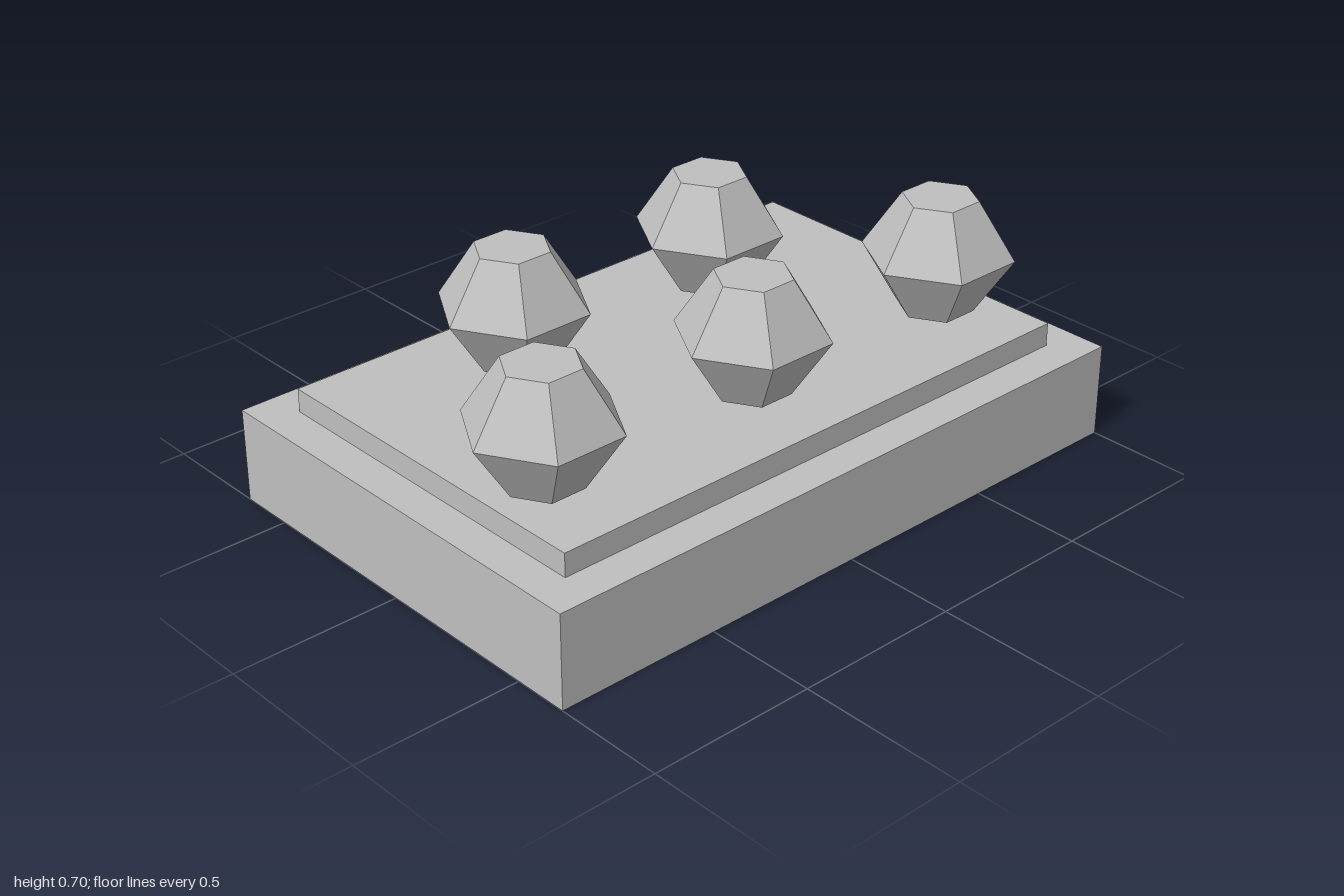
import * as THREE from 'three';

export function createModel() {
  const model = new THREE.Group();
  model.name = 'gemTray';
  const grey = new THREE.MeshStandardMaterial({ color: 0xbfbfbf });
  grey.name = 'grey';

  const add = (name, geometry, x, y, z) => {
    const mesh = new THREE.Mesh(geometry, grey);
    mesh.name = name;
    mesh.position.set(x, y, z);
    model.add(mesh);
  };

  // Stepped rectangular base
  add('base', new THREE.BoxGeometry(2, 0.28, 1.333), 0, 0.14, 0);
  add('raisedPlate', new THREE.BoxGeometry(1.78, 0.07, 1.11), 0, 0.315, 0);

  // Six-sided faceted gem: flat top and bottom, widest at the middle
  const profile = [[0, -0.17], [0.11, -0.17], [0.22, 0], [0.11, 0.17], [0, 0.17]]
    .map(([r, y]) => new THREE.Vector2(r, y));
  const gem = new THREE.LatheGeometry(profile, 6).rotateY(Math.PI / 6).toNonIndexed();
  gem.computeVertexNormals();

  // Three gems in front, two behind, hovering just above the plate
  [-0.722, 0, 0.722].forEach((x, i) => add(`frontGem${i + 1}`, gem, x, 0.53, 0.278));
  [-0.361, 0.361].forEach((x, i) => add(`backGem${i + 1}`, gem, x, 0.53, -0.278));

  return model;
}
